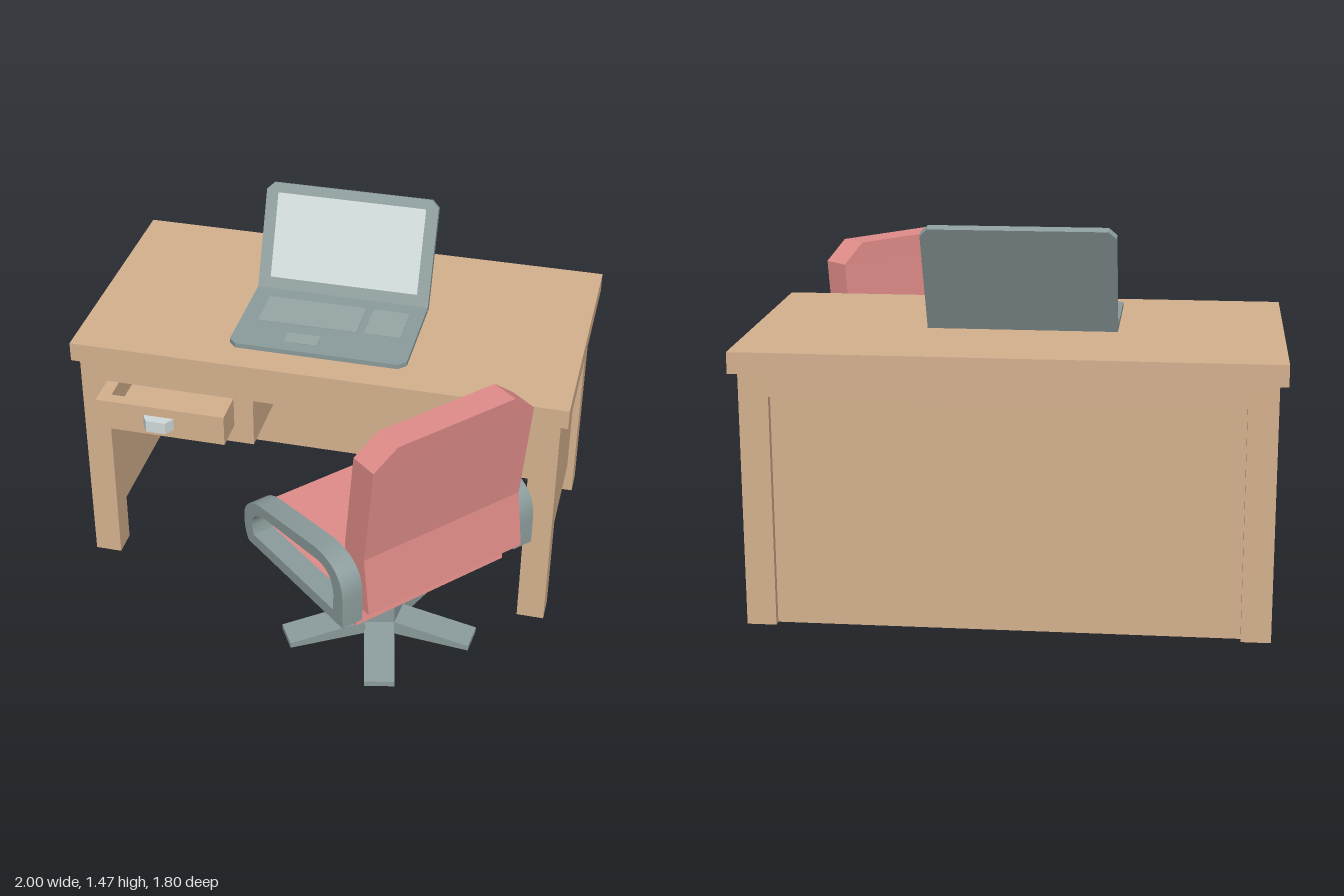
import * as THREE from 'three';
import { toCreasedNormals } from 'three/addons/utils/BufferGeometryUtils.js';

const material = (color) => new THREE.MeshStandardMaterial({ color, flatShading: true });
const wood = material(0xd4b08e);
const grey = material(0x8b9b9b);
const pale = material(0xcfd9da);
const keys = material(0x97a5a5);
const pink = material(0xdf8c88);
const smoothGrey = new THREE.MeshStandardMaterial({ color: 0x8b9b9b });

function add(parent, name, geometry, mat) {
  const mesh = new THREE.Mesh(geometry, mat);
  mesh.name = name;
  parent.add(mesh);
  return mesh;
}

// Box given by its limits on each axis
function box(parent, name, mat, x0, x1, y0, y1, z0, z1) {
  const mesh = add(parent, name, new THREE.BoxGeometry(x1 - x0, y1 - y0, z1 - z0), mat);
  mesh.position.set((x0 + x1) / 2, (y0 + y1) / 2, (z0 + z1) / 2);
  return mesh;
}

function extrude(points, depth) {
  const shape = new THREE.Shape(points.map(([x, y]) => new THREE.Vector2(x, y)));
  return new THREE.ExtrudeGeometry(shape, { depth, bevelEnabled: false });
}

// Flat plate with its two far corners cut off
function plate(width, length, thickness, cut) {
  const w = width / 2;
  return extrude([[-w, 0], [w, 0], [w, length - cut], [w - cut, length],
    [cut - w, length], [-w, length - cut]], thickness);
}

function createDesk() {
  const desk = new THREE.Group();
  desk.name = 'desk';
  box(desk, 'deskTop', wood, -1, 1, 0.98, 1.06, -0.9, 0.16);

  // Legs, side rails and inset side panels
  for (const s of [-1, 1]) {
    const side = (name, x0, x1, ...rest) =>
      box(desk, name, wood, Math.min(s * x0, s * x1), Math.max(s * x0, s * x1), ...rest);
    side('frontLeg', 0.86, 0.97, 0.01, 0.98, 0.03, 0.14);
    side('backLeg', 0.86, 0.97, 0.01, 0.98, -0.87, -0.76);
    side('sideRail', 0.86, 0.97, 0.89, 0.98, -0.76, 0.03);
    side('sidePanel', 0.9, 0.94, 0.14, 0.89, -0.76, 0.03);
  }
  box(desk, 'frontRail', wood, -0.86, 0.86, 0.89, 0.98, 0.03, 0.14);
  box(desk, 'backRail', wood, -0.86, 0.86, 0.89, 0.98, -0.87, -0.76);
  box(desk, 'backPanel', wood, -0.86, 0.86, 0.01, 0.89, -0.84, -0.8);

  // Drawer housing
  box(desk, 'housingFloor', wood, -0.9, -0.25, 0.68, 0.76, -0.8, 0.14);
  box(desk, 'housingWall', wood, -0.33, -0.25, 0.76, 0.89, -0.8, 0.14);

  // Half-open drawer
  const drawer = new THREE.Group();
  drawer.name = 'drawer';
  desk.add(drawer);
  box(drawer, 'drawerFront', wood, -0.86, -0.33, 0.76, 0.89, 0.23, 0.28);
  box(drawer, 'drawerBack', wood, -0.86, -0.33, 0.76, 0.89, -0.55, -0.5);
  box(drawer, 'drawerRightWall', wood, -0.86, -0.81, 0.76, 0.89, -0.5, 0.23);
  box(drawer, 'drawerLeftWall', wood, -0.38, -0.33, 0.76, 0.89, -0.5, 0.23);
  box(drawer, 'drawerFloor', wood, -0.81, -0.38, 0.76, 0.79, -0.5, 0.23);
  const handle = add(drawer, 'drawerHandle',
    extrude([[-0.063, 0], [-0.04, -0.04], [0.04, -0.04], [0.063, 0]], 0.05), pale);
  handle.rotation.x = -Math.PI / 2;
  handle.position.set(-0.6, 0.8, 0.28);
  return desk;
}

function createLaptop() {
  const laptop = new THREE.Group();
  laptop.name = 'laptop';
  laptop.position.set(-0.02, 1.06, -0.42);
  const base = add(laptop, 'laptopBase', plate(0.72, 0.45, 0.02, 0.03), grey);
  base.rotation.x = Math.PI / 2;
  base.position.y = 0.02;
  box(laptop, 'keyboard', keys, -0.29, 0.12, 0.02, 0.023, 0.07, 0.26);
  box(laptop, 'numberPad', keys, 0.15, 0.3, 0.02, 0.023, 0.07, 0.26);
  box(laptop, 'touchPad', keys, -0.145, -0.01, 0.02, 0.023, 0.325, 0.395);

  // Lid leaning back from the hinge
  const lid = new THREE.Group();
  lid.name = 'lid';
  lid.position.set(0, 0.008, 0.005);
  lid.rotation.x = -0.415;
  laptop.add(lid);
  add(lid, 'lidShell', plate(0.72, 0.45, 0.03, 0.03), grey).position.z = -0.03;
  box(lid, 'screen', pale, -0.31, 0.31, 0.06, 0.41, -0.002, 0.003);
  return laptop;
}

// Loop-shaped armrest, drawn from the side with the chair's front to +x
function armrestGeometry() {
  const s = new THREE.Shape();
  s.moveTo(-0.38, 0.46);
  s.lineTo(0.26, 0.46);
  s.quadraticCurveTo(0.29, 0.49, 0.29, 0.57);
  s.quadraticCurveTo(0.285, 0.66, 0.17, 0.68);
  s.lineTo(-0.2, 0.73);
  s.quadraticCurveTo(-0.38, 0.735, -0.38, 0.58);
  s.closePath();
  const hole = new THREE.Path();
  hole.moveTo(-0.32, 0.51);
  hole.lineTo(-0.32, 0.59);
  hole.quadraticCurveTo(-0.31, 0.68, -0.22, 0.68);
  hole.lineTo(0.14, 0.64);
  hole.quadraticCurveTo(0.235, 0.62, 0.235, 0.55);
  hole.lineTo(0.225, 0.51);
  hole.closePath();
  s.holes.push(hole);
  const g = new THREE.ExtrudeGeometry(s, { depth: 0.09, bevelEnabled: false, curveSegments: 6 });
  return toCreasedNormals(g, 0.6);
}

// Bent backrest with clipped top corners: [height, half width, back z] per row
function backrestGeometry() {
  const rows = [[1.245, 0.265, 0.44], [1.165, 0.365, 0.432], [0.745, 0.365, 0.385], [0.51, 0.365, 0.42]];
  const g = new THREE.BoxGeometry(2, 3, 2, 1, 3, 1);
  const p = g.attributes.position;
  for (let i = 0; i < p.count; i++) {
    const [y, w, back] = rows[Math.round(1.5 - p.getY(i))];
    p.setXYZ(i, Math.sign(p.getX(i)) * w, y, p.getZ(i) > 0 ? back : back - 0.12);
  }
  g.computeVertexNormals();
  return g;
}

// Seat with cut front corners and a sloping rear edge
function seatGeometry() {
  const g = extrude([[-0.355, -0.33], [0.355, -0.33], [0.355, 0.3], [0.25, 0.412],
    [-0.25, 0.412], [-0.355, 0.3]], 0.09);
  g.rotateX(-Math.PI / 2);
  const p = g.attributes.position;
  for (let i = 0; i < p.count; i++) {
    if (p.getZ(i) > 0.32 && p.getY(i) > 0.05) p.setZ(i, 0.31);
  }
  g.computeVertexNormals();
  return g;
}

function createChair() {
  const chair = new THREE.Group();
  chair.name = 'chair';
  chair.position.set(0.315, 0, 0.305);
  chair.rotation.y = 0.848;
  add(chair, 'seat', seatGeometry(), pink).position.y = 0.39;
  add(chair, 'backrest', backrestGeometry(), pink);

  for (const x of [-0.455, 0.365]) {
    const arm = add(chair, 'armrest', armrestGeometry(), smoothGrey);
    arm.rotation.y = Math.PI / 2;
    arm.position.x = x;
  }

  // Five-sided column on a five-legged base
  add(chair, 'column', new THREE.CylinderGeometry(0.103, 0.103, 0.38, 5), grey).position.y = 0.205;
  const foot = extrude([[0, 0.005], [0.395, 0.005], [0.395, 0.028], [0.083, 0.065], [0, 0.065]], 0.121);
  foot.translate(0, 0, -0.0605);
  for (let i = 0; i < 5; i++) {
    add(chair, 'baseLeg', foot, grey).rotation.y = Math.PI / 2 + (i * Math.PI * 2) / 5;
  }
  return chair;
}

export function createModel() {
  const model = new THREE.Group();
  model.name = 'deskWithChair';
  model.add(createDesk(), createLaptop(), createChair());
  return model;
}
